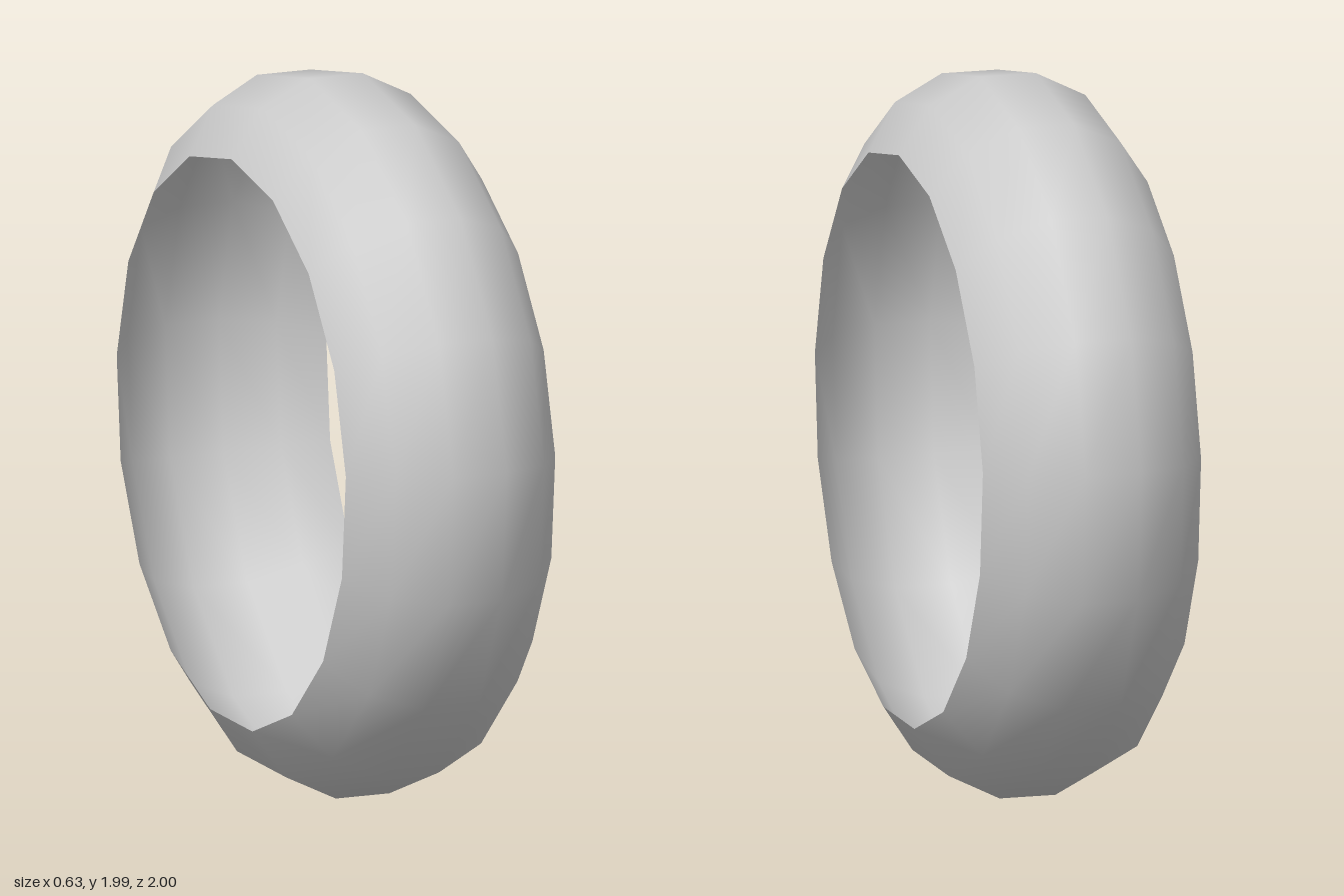
import * as THREE from 'three';

const SIDES = 17;
const CENTER_Y = 0.987;

export function createModel() {
  const group = new THREE.Group();
  group.name = 'ring';

  // Half of the arched cross-section: [offset along the axle, radius]
  const half = [[0.08, 1.004], [0.222, 0.933], [0.313, 0.798]];
  const profile = [
    ...half.slice().reverse().map(([x, r]) => new THREE.Vector2(r, -x)),
    ...half.map(([x, r]) => new THREE.Vector2(r, x)),
  ];

  // Hollow, open shell turned about the x axis, with one corner at the top
  const geometry = new THREE.LatheGeometry(profile, SIDES);
  geometry.rotateZ(-Math.PI / 2);
  geometry.rotateX(-Math.PI / 2);

  const shell = new THREE.Mesh(
    geometry,
    new THREE.MeshStandardMaterial({ color: 0xcccccc, side: THREE.DoubleSide })
  );
  shell.name = 'ringShell';
  shell.position.y = CENTER_Y;
  group.add(shell);
  return group;
}
